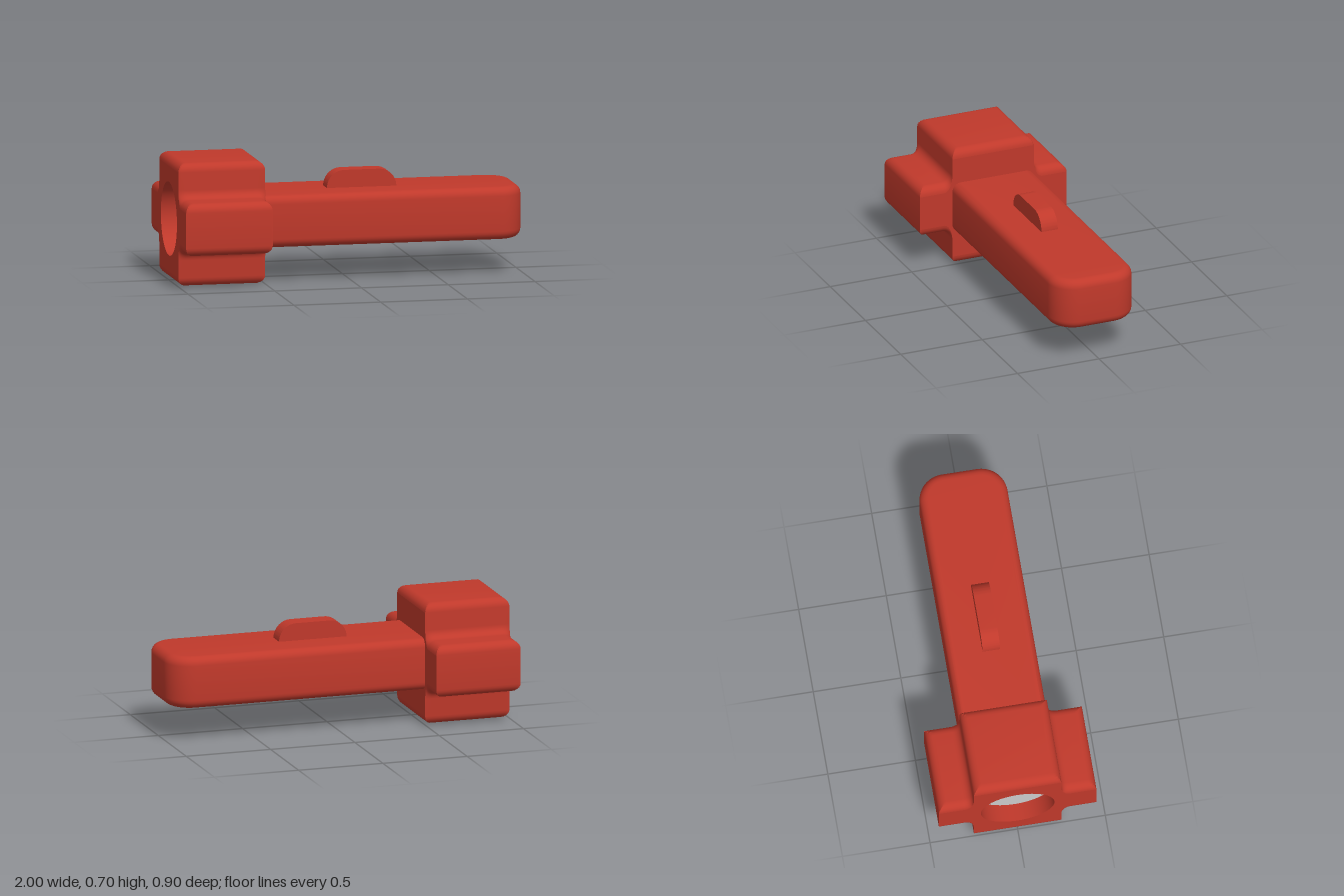
import * as THREE from 'three';
import { toCreasedNormals } from 'three/addons/utils/BufferGeometryUtils.js';

const R = 0.05;      // fillet radius
const N = 6;         // segments per fillet
const MID = 0.35;    // height of the long axis
const LENS = 0.21;   // lens radius
const red = new THREE.MeshStandardMaterial({ color: 0xc0392b });
const redThin = new THREE.MeshStandardMaterial({ color: 0xc0392b, side: THREE.DoubleSide });
const grey = new THREE.MeshStandardMaterial({ color: 0xcccccc });

function add(group, name, geometry, material = red) {
  const mesh = new THREE.Mesh(geometry, material);
  mesh.name = name;
  group.add(mesh);
  return mesh;
}

// Cross-shaped outline; trim lowers its upper and lower faces near the ends
function crossOutline(trim) {
  const quarter = [];
  const angles = Array.from({ length: N + 1 }, (_, i) => (i / N) * Math.PI / 2);
  const convex = (z, top) => angles.forEach(a =>
    quarter.push([z + R * Math.cos(a), Math.min(top - R + R * Math.sin(a), top - trim)]));
  convex(0.4, 0.15);
  angles.forEach(a => {
    const h = 0.2 - R * Math.cos(a);
    quarter.push([0.3 - R * Math.sin(a), h - trim * (0.2 - h) / R]);
  });
  convex(0.2, 0.35);
  const back = [...quarter].reverse();
  return [
    ...quarter,
    ...back.map(([z, h]) => [-z, h]),
    ...quarter.map(([z, h]) => [-z, -h]),
    ...back.map(([z, h]) => [z, -h]),
  ].map(p => new THREE.Vector2(...p));
}

// Skin of the head: outlines placed along its length
function headSkin(halfLength) {
  const steps = [];
  for (let i = 0; i <= N; i++) {
    const a = (i / N) * Math.PI / 2;
    steps.push([-halfLength + R * (1 - Math.cos(a)), R * (1 - Math.sin(a))]);
  }
  steps.push(...[...steps].reverse().map(([d, t]) => [-d, t]));
  const pos = [], index = [];
  steps.forEach(([d, trim], j) => {
    const ring = crossOutline(trim), count = ring.length;
    ring.forEach(p => pos.push(p.x, p.y, d));
    if (j === 0) return;
    for (let i = 0; i < count; i++) {
      const a = (j - 1) * count + i, b = (j - 1) * count + (i + 1) % count;
      index.push(a, b, b + count, a, b + count, a + count);
    }
  });
  const g = new THREE.BufferGeometry();
  g.setAttribute('position', new THREE.Float32BufferAttribute(pos, 3));
  g.setIndex(index);
  return toCreasedNormals(g, 0.6).rotateY(-Math.PI / 2);
}

function createHead() {
  const head = new THREE.Group();
  head.name = 'head';
  head.position.set(-0.75, MID, 0);
  add(head, 'headBody', headSkin(0.25));

  // End faces, the outer one with the round lens opening
  const frontShape = new THREE.Shape(crossOutline(R));
  frontShape.holes.push(new THREE.Path().absarc(0, 0, LENS, 0, Math.PI * 2, true));
  add(head, 'headFront', new THREE.ShapeGeometry(frontShape, 32).rotateY(-Math.PI / 2)).position.x = -0.25;
  const backShape = new THREE.Shape(crossOutline(R));
  add(head, 'headBack', new THREE.ShapeGeometry(backShape).rotateY(Math.PI / 2)).position.x = 0.25;

  // Recess and lens
  const bore = new THREE.CylinderGeometry(LENS, LENS, 0.1, 64, 1, true).rotateZ(Math.PI / 2);
  add(head, 'lensRecess', bore, redThin).position.x = -0.2;
  add(head, 'lens', new THREE.CircleGeometry(LENS, 64).rotateY(-Math.PI / 2), grey).position.x = -0.15;
  return head;
}

// Handle: rounded plan with a fillet all round
function createHandle() {
  const plan = new THREE.Shape();
  plan.moveTo(-0.6, -0.2);
  plan.lineTo(0.85, -0.2);
  plan.absarc(0.85, -0.1, 0.1, -Math.PI / 2, 0, false);
  plan.absarc(0.85, 0.1, 0.1, 0, Math.PI / 2, false);
  plan.lineTo(-0.6, 0.2);
  plan.closePath();
  const g = new THREE.ExtrudeGeometry(plan, {
    depth: 0.2, bevelSize: R, bevelThickness: R, bevelSegments: N, curveSegments: 10,
  });
  return toCreasedNormals(g.rotateX(-Math.PI / 2).translate(0, 0.25, 0), 0.6);
}

// Switch: upright bar with round upper corners
function createSwitch() {
  const side = new THREE.Shape();
  side.moveTo(-0.1, 0.48);
  side.lineTo(0.3, 0.48);
  side.absarc(0.2, 0.5, 0.1, 0, Math.PI / 2, false);
  side.absarc(0, 0.5, 0.1, Math.PI / 2, Math.PI, false);
  side.closePath();
  const g = new THREE.ExtrudeGeometry(side, { depth: 0.1, bevelEnabled: false, curveSegments: 12 });
  return toCreasedNormals(g.translate(0, 0, -0.05), 0.6);
}

export function createModel() {
  const model = new THREE.Group();
  model.name = 'flashlight';
  model.add(createHead());
  add(model, 'handle', createHandle());
  add(model, 'switch', createSwitch());
  return model;
}
